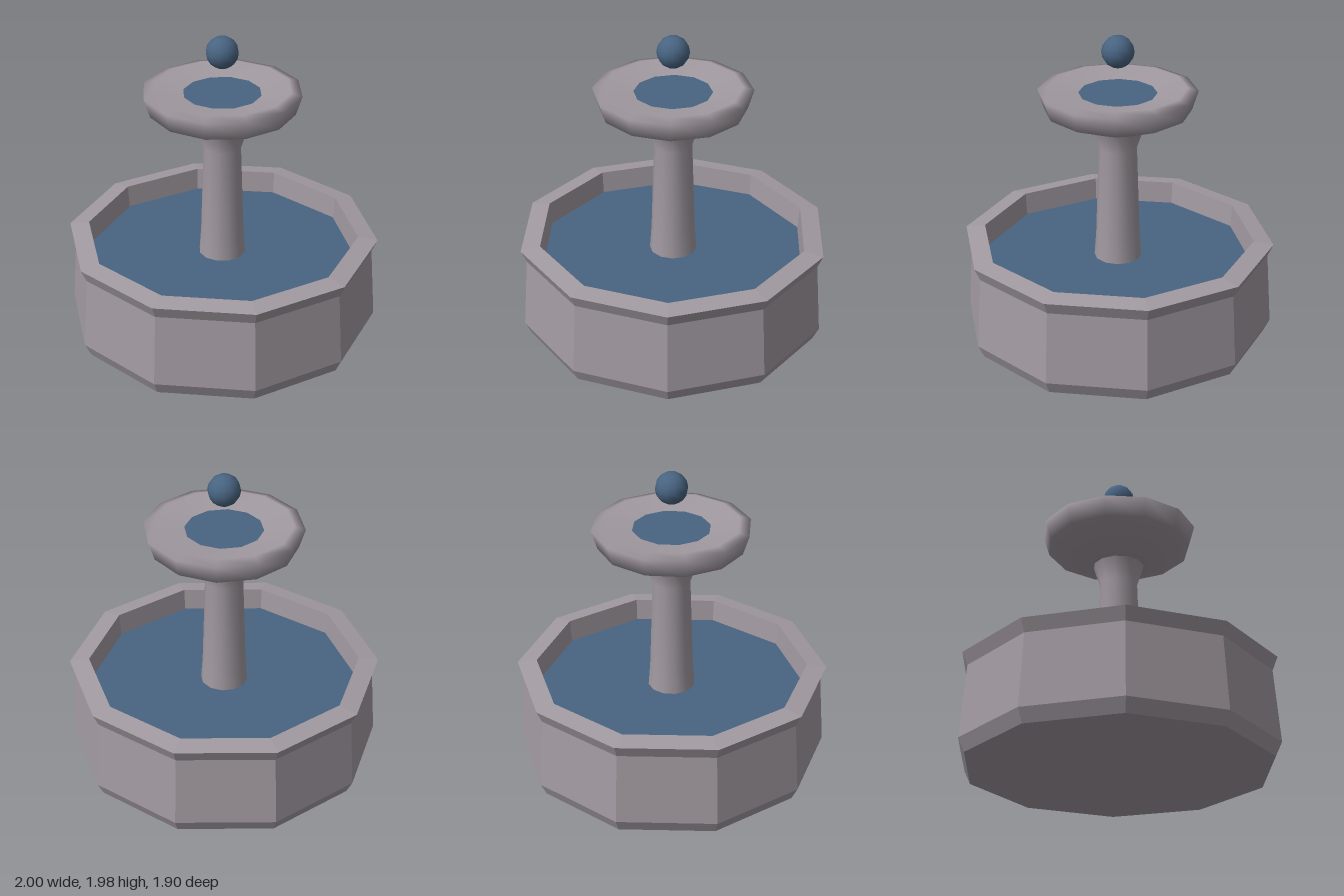
import * as THREE from 'three';

// Turned shape with a corner on the x axis; profile runs from bottom, outwards and up
function turned(points, sides, flat) {
  const profile = points.map(([r, y]) => new THREE.Vector2(r, y));
  let geo = new THREE.LatheGeometry(profile, sides, Math.PI / 2);
  if (flat) {
    geo = geo.toNonIndexed();
    geo.computeVertexNormals();
  }
  return geo;
}

export function createModel() {
  const stone = new THREE.MeshStandardMaterial({ color: 0xa29aa1 });
  stone.name = 'stone';
  const water = new THREE.MeshStandardMaterial({ color: 0x486482 });
  water.name = 'water';

  const fountain = new THREE.Group();
  fountain.name = 'fountain';
  function add(name, geo, mat, y = 0) {
    const mesh = new THREE.Mesh(geo, mat);
    mesh.name = name;
    mesh.position.y = y;
    fountain.add(mesh);
    return mesh;
  }

  // Ten-sided basin with chamfered foot, flared rim and hollow inside
  add('basin', turned([
    [0, 0], [0.96, 0], [1, 0.085], [0.965, 0.55], [1, 0.63],
    [0.875, 0.648], [0.86, 0.45], [0, 0.45],
  ], 10, true), stone);

  // Pool surface
  add('poolWater', turned([[0.862, 0.5], [0, 0.5]], 10, true), water);

  // Tapered column with a flared head
  add('column', turned([[0.155, 0.45], [0.14, 0.65], [0.12, 1.25], [0.165, 1.385]], 12), stone);

  // Shallow upper bowl
  add('upperBowl', turned([
    [0, 1.38], [0.165, 1.38], [0.46, 1.508], [0.498, 1.63],
    [0.43, 1.649], [0.2, 1.6], [0, 1.6],
  ], 12), stone);

  // Water in the upper bowl
  add('bowlWater', turned([[0.245, 1.613], [0, 1.613]], 12, true), water);

  // Water ball hovering above the bowl
  add('waterBall', new THREE.SphereGeometry(0.102, 12, 8), water, 1.878);

  return fountain;
}
